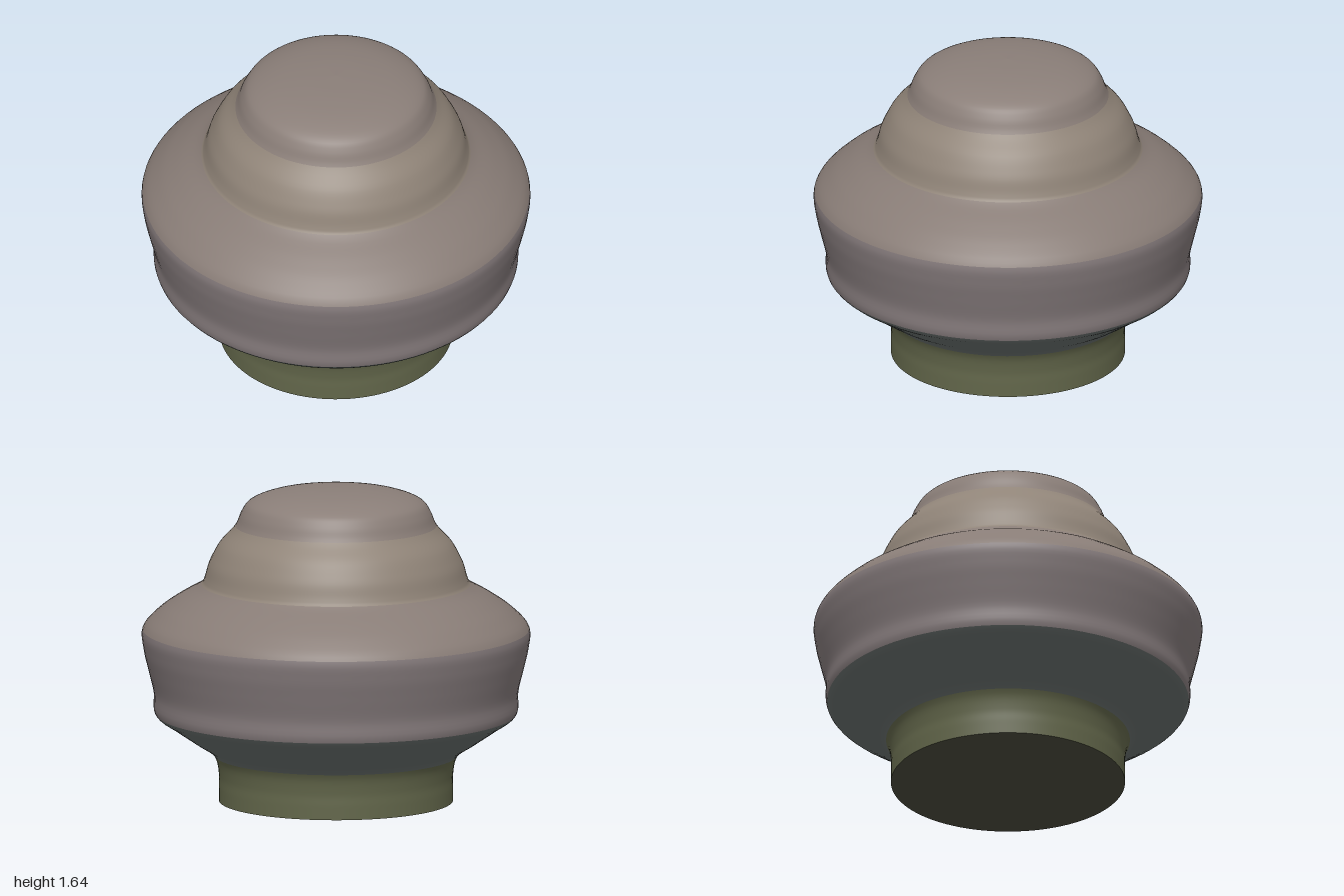
import * as THREE from 'three';

const SEGMENTS = 96;

// Outline as [radius, height], bottom to top, one section per colour band.
// Each section starts where the one below it ends.
const sections = [
  { name: 'foot', color: 0x62664a, points: [[0.605, 0], [0.605, 0.07], [0.605, 0.14], [0.63, 0.24]] },
  { name: 'lowerFlare', color: 0x666d6b, points: [[0.74, 0.32], [0.85, 0.395], [0.935, 0.46]] },
  { name: 'belly', color: 0x83797a, points: [[0.942, 0.57], [0.97, 0.69], [0.995, 0.8], [1, 0.9]] },
  { name: 'shoulder', color: 0x887c76, points: [[0.92, 0.99], [0.82, 1.06], [0.695, 1.135]] },
  { name: 'neck', color: 0x908478, points: [[0.68, 1.165], [0.66, 1.235], [0.64, 1.28], [0.6, 1.35], [0.52, 1.44]] },
  { name: 'crown', color: 0x8a7e78, points: [[0.49, 1.51], [0.455, 1.56], [0.35, 1.605], [0.18, 1.632], [0, 1.64]] },
];

export function createModel() {
  const group = new THREE.Group();
  group.name = 'turnedVessel';

  // One smooth curve through all sections, so the bands meet without a seam
  const outline = sections.flatMap((s) => s.points).map(([r, y]) => new THREE.Vector3(r, y, 0));
  const curve = new THREE.CatmullRomCurve3(outline, false, 'centripetal');
  const spans = outline.length - 1;
  const steps = 5;

  let start = 0;
  let count = 0;
  for (const { name, color, points } of sections) {
    count += points.length;
    const end = count - 1;
    const profile = [];
    for (let i = start * steps; i <= end * steps; i++) {
      const p = curve.getPoint(i / (spans * steps));
      profile.push(new THREE.Vector2(Math.max(0, p.x), p.y));
    }
    const band = new THREE.Mesh(
      new THREE.LatheGeometry(profile, SEGMENTS),
      new THREE.MeshStandardMaterial({ color })
    );
    band.name = name;
    group.add(band);
    start = end;
  }

  // Flat underside closing the foot
  const base = new THREE.Mesh(
    new THREE.CircleGeometry(0.605, SEGMENTS).rotateX(Math.PI / 2),
    new THREE.MeshStandardMaterial({ color: 0x4a4b3c })
  );
  base.name = 'underside';
  group.add(base);

  return group;
}
